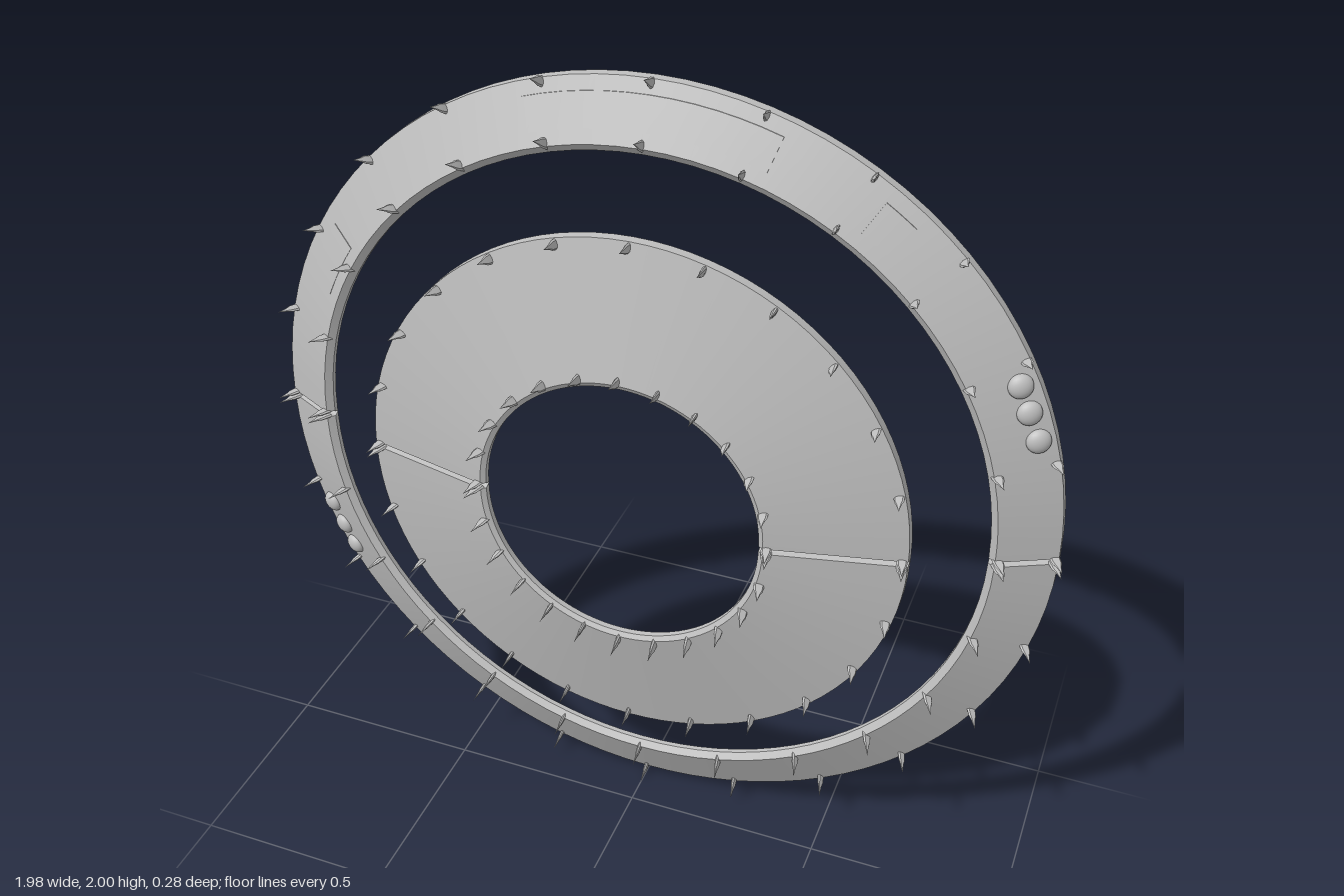
import * as THREE from 'three';
import { toCreasedNormals } from 'three/addons/utils/BufferGeometryUtils.js';

const GAP = 0.007; // half of the seam between upper and lower halves
const grey = new THREE.MeshStandardMaterial({ color: 0xbfbfbf });
grey.name = 'metal grey';

function mesh(geometry, name) {
  const m = new THREE.Mesh(geometry, grey);
  m.name = name;
  return m;
}

// Sweep a closed (radius, z) profile from angle a0 to a1 and cap both ends.
// Profile points listed in `seam` are stretched down to the dividing plane.
function sector(profile, a0, a1, steps, seam = []) {
  const n = profile.length, pos = [], index = [];
  for (let j = 0; j <= steps; j++) {
    const a = a0 + (a1 - a0) * j / steps;
    profile.forEach(([r, z], i) => {
      const atEnd = j === 0 || j === steps;
      const drop = atEnd && seam.includes(i) ? GAP - 0.0005 : 0;
      pos.push(r * Math.cos(a), r * Math.sin(a) - drop, z);
    });
  }
  for (let j = 0; j < steps; j++) {
    for (let i = 0; i < n; i++) {
      const k = (i + 1) % n;
      const a = j * n + i, b = j * n + k;
      index.push(a, a + n, b + n, a, b + n, b);
    }
  }
  const end = steps * n;
  for (let i = 1; i < n - 1; i++) {
    index.push(0, i, i + 1, end, end + i + 1, end + i);
  }
  const g = new THREE.BufferGeometry();
  g.setAttribute('position', new THREE.Float32BufferAttribute(pos, 3));
  g.setIndex(index);
  return toCreasedNormals(g, 0.3);
}

// Narrow stepped spike, flattened across the rim direction
function spikeGeometry() {
  const pts = [[0, -0.008], [0.013, -0.008], [0.011, 0.018], [0.006, 0.03], [0, 0.056]]
    .map(([x, y]) => new THREE.Vector2(x, y));
  const g = new THREE.LatheGeometry(pts, 8);
  g.scale(1, 1, 0.45);
  g.rotateX(Math.PI / 2); // point along +z, wide along x
  return toCreasedNormals(g, 0.6);
}
const spike = spikeGeometry();

// Spikes every 15 degrees along half a rim, leaning outward by tilt
function spikeRow(name, radius, z, tilt) {
  const row = new THREE.Group();
  row.name = name;
  for (let i = 0; i <= 12; i++) {
    const holder = new THREE.Group();
    holder.rotation.z = i * Math.PI / 12;
    const s = mesh(spike, 'spike');
    s.position.set(radius, 0, z);
    s.rotation.y = tilt;
    holder.add(s);
    row.add(holder);
  }
  return row;
}

// Shell profiles: outer back, outer front, inner front, inner lip, inner back
const OUTER = [[0.975, -0.14], [0.975, -0.115], [0.845, -0.05], [0.828, -0.062], [0.828, -0.075]];
const INNER = [[0.666, -0.005], [0.666, 0.02], [0.35, 0.092], [0.338, 0.085], [0.338, 0.07]];
const outerFront = r => -0.115 + (0.975 - r) * 0.5;

function outerHalf() {
  const half = new THREE.Group();
  half.add(mesh(sector(OUTER, 0, Math.PI, 48, [0, 4]), 'outerRingShell'));
  half.add(spikeRow('outerRimSpikes', 0.966, -0.112, 0.46));
  half.add(spikeRow('innerRimSpikes', 0.85, -0.055, 0.46));
  // Three flattened studs
  for (const [x, y] of [[0.835, 0.43], [0.862, 0.37], [0.89, 0.305]]) {
    const angle = Math.atan2(y, x), r = Math.hypot(x, y);
    const holder = new THREE.Group();
    holder.rotation.z = angle;
    const stud = mesh(new THREE.SphereGeometry(0.028, 20, 14), 'stud');
    stud.position.set(r, 0, outerFront(r));
    stud.rotation.y = 0.46;
    stud.scale.z = 0.65;
    holder.add(stud);
    half.add(holder);
  }
  return half;
}

function innerHalf() {
  const half = new THREE.Group();
  half.add(mesh(sector(INNER, 0, Math.PI, 48, [0, 4]), 'innerDiscShell'));
  half.add(spikeRow('discRimSpikes', 0.652, 0.022, 0.22));
  half.add(spikeRow('discHoleSpikes', 0.358, 0.09, 0.22));
  return half;
}

// Very thin raised plate on the sloping front of the outer ring
function panel(r0, r1, deg0, deg1) {
  const profile = [[r1, outerFront(r1)], [r1, outerFront(r1) + 0.002],
    [r0, outerFront(r0) + 0.002], [r0, outerFront(r0)]];
  const rad = THREE.MathUtils.degToRad;
  return mesh(sector(profile, rad(deg0), rad(deg1), 12), 'ringPanel');
}

export function createModel() {
  const model = new THREE.Group();
  model.name = 'spikedRings';
  const body = new THREE.Group();
  body.name = 'rings';
  body.position.y = 1.002;
  model.add(body);

  // The lower halves are the upper ones turned by half a revolution
  for (const lower of [false, true]) {
    const side = lower ? 'lower' : 'upper';
    const outer = outerHalf(), inner = innerHalf();
    outer.name = side + 'OuterRing';
    inner.name = side + 'InnerDisc';
    if (!lower) {
      outer.add(panel(0.875, 0.945, 72, 108), panel(0.87, 0.94, 147, 157), panel(0.875, 0.945, 52, 57));
    }
    for (const half of [outer, inner]) {
      half.position.y = lower ? -GAP : GAP;
      half.rotation.z = lower ? Math.PI : 0;
      body.add(half);
    }
  }
  return model;
}
